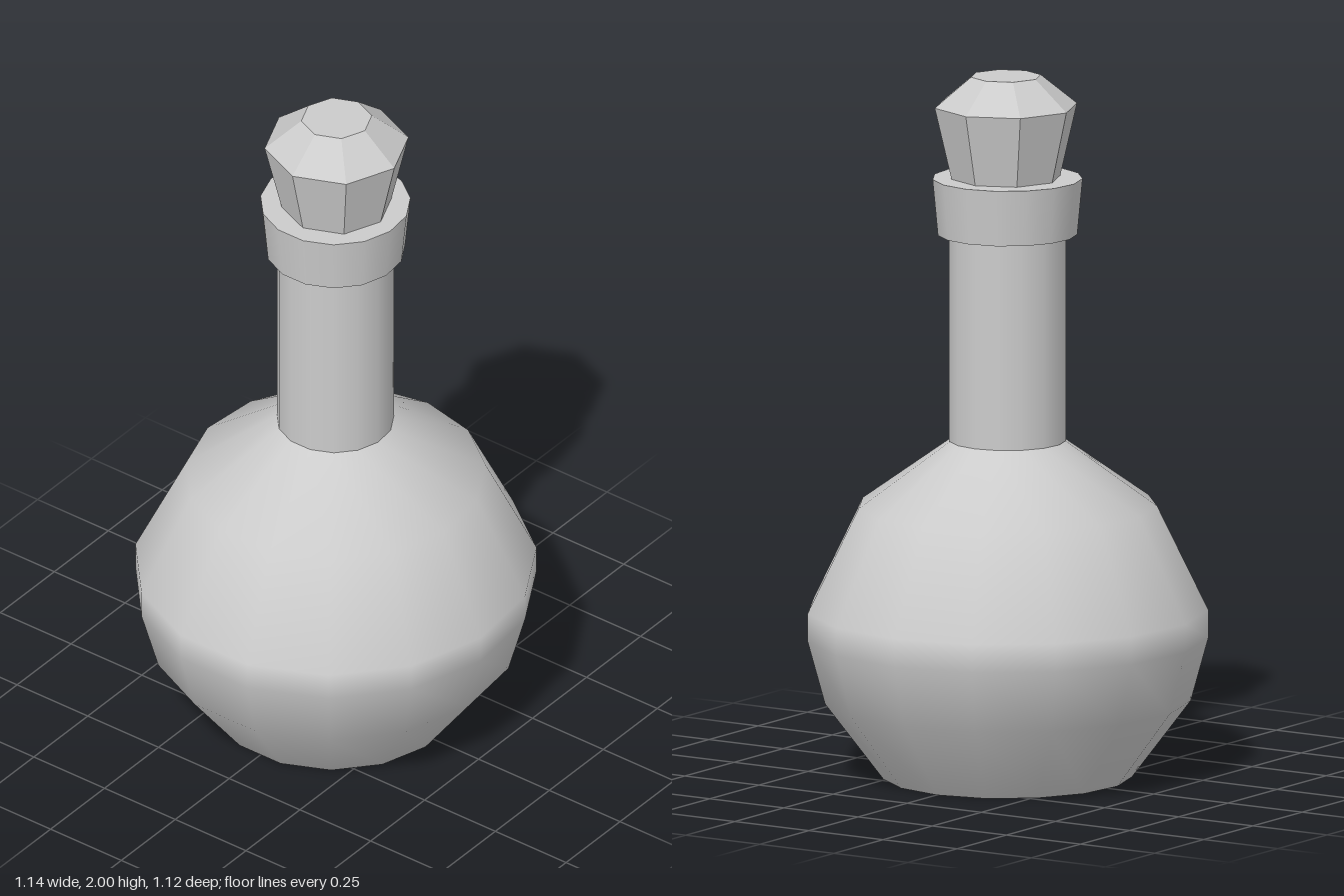
import * as THREE from 'three';

export function createModel() {
  const model = new THREE.Group();
  const smooth = new THREE.MeshStandardMaterial({ color: 0xcccccc });
  const faceted = new THREE.MeshStandardMaterial({ color: 0xcccccc, flatShading: true });

  // Turned section with a corner on +x; profile runs bottom to top as [radius, height]
  function turn(name, profile, sides, material, x = -0.006, z = -0.002) {
    const points = profile.map(([r, y]) => new THREE.Vector2(r, y));
    const mesh = new THREE.Mesh(new THREE.LatheGeometry(points, sides, Math.PI / 2), material);
    mesh.name = name;
    mesh.position.set(x, 0, z);
    model.add(mesh);
    return mesh;
  }

  // Round bulb, very slightly flattened front to back, with a flat base
  const bulb = turn('bulb', [[0.356, 0], [0.524, 0.22], [0.574, 0.4], [0.574, 0.48], [0.428, 0.775], [0.165, 0.96]], 15, smooth);
  const base = turn('base', [[0, 0], [0.356, 0]], 15, smooth);
  bulb.scale.z = base.scale.z = 0.981;

  // Straight neck
  turn('neck', [[0.165, 0.96], [0.165, 1.55]], 15, smooth);

  // Flared collar: underside, wall and flat lip, kept apart for crisp edges
  turn('collarUnderside', [[0.163, 1.55], [0.197, 1.55]], 15, smooth);
  turn('collarWall', [[0.197, 1.55], [0.212, 1.71]], 15, smooth);
  turn('collarLip', [[0.212, 1.71], [0, 1.71]], 15, smooth);

  // Cut-glass stopper with eight facets
  turn('stopper', [[0.156, 1.71], [0.204, 1.915], [0.1, 2], [0, 2]], 8, faceted, -0.008, 0.004);

  return model;
}
